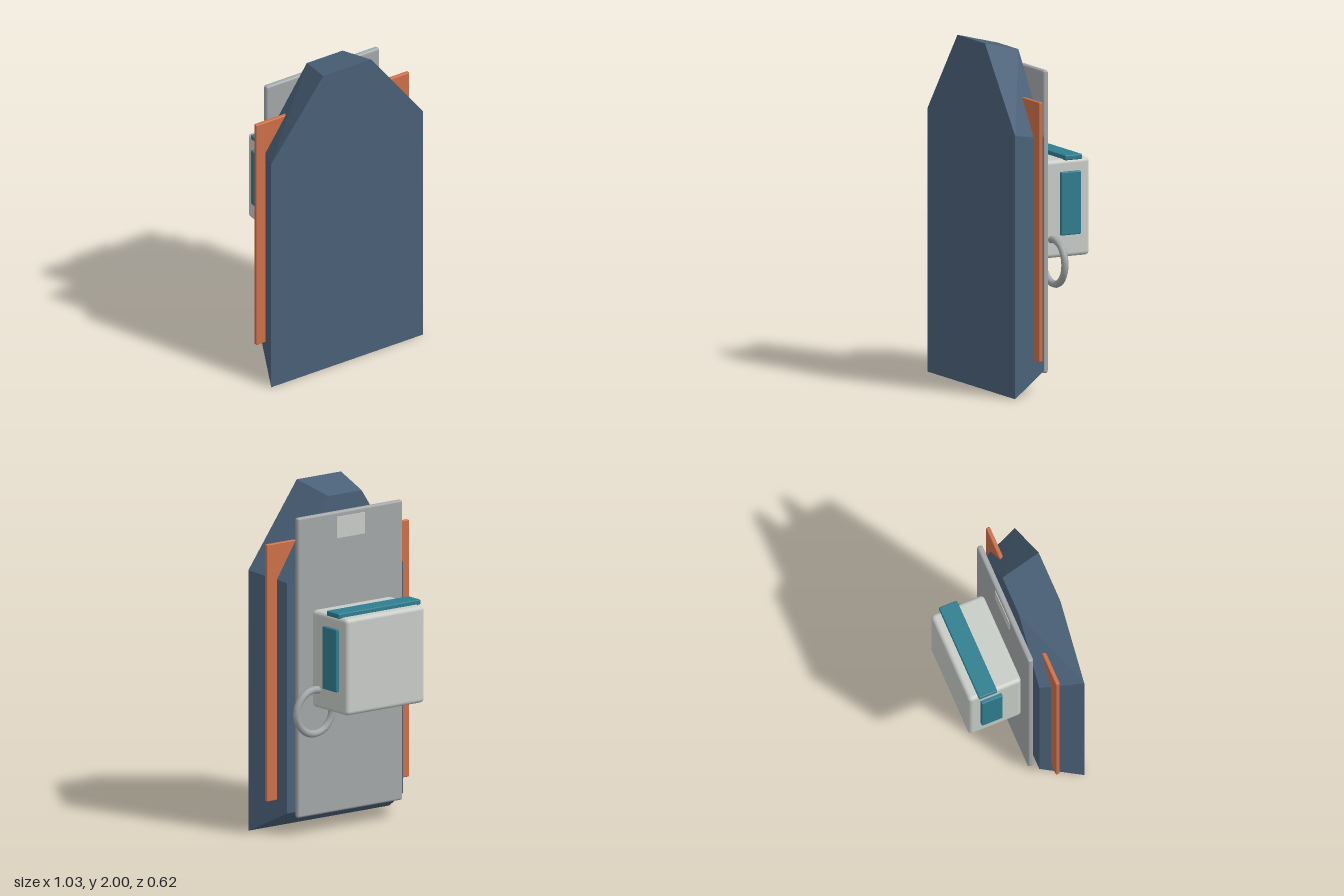
import * as THREE from 'three';
import { ConvexGeometry } from 'three/addons/geometries/ConvexGeometry.js';
import { RoundedBoxGeometry } from 'three/addons/geometries/RoundedBoxGeometry.js';

const paint = (name, color) => {
  const m = new THREE.MeshStandardMaterial({ color });
  m.name = name;
  return m;
};

export function createModel() {
  const group = new THREE.Group();
  const navy = paint('navy', 0x4a6178);
  const orange = paint('orange', 0xcc6f48);
  const teal = paint('teal', 0x2e7d8f);
  const paleGrey = paint('paleGrey', 0xc8ccc7);
  const steel = paint('steel', 0xa3a7a8);

  const add = (name, geometry, material) => {
    const mesh = new THREE.Mesh(geometry, material);
    mesh.name = name;
    group.add(mesh);
    return mesh;
  };

  // Rounded box given by its limits on each axis
  const block = (name, [x0, x1], [y0, y1], [z0, z1], radius, material) => {
    const geo = new RoundedBoxGeometry(x1 - x0, y1 - y0, z1 - z0, 3, radius);
    geo.translate((x0 + x1) / 2, (y0 + y1) / 2, (z0 + z1) / 2);
    return add(name, geo, material);
  };

  // Tapered shield body: clipped-corner outline, smaller at the back
  const outline = (z, half, topHalf, bottom, shoulder, top) =>
    [-1, 1].flatMap((s) => [
      new THREE.Vector3(s * half, bottom, z),
      new THREE.Vector3(s * half, shoulder, z),
      new THREE.Vector3(s * topHalf, top, z),
    ]);
  add('shieldBody', new ConvexGeometry([
    ...outline(0.308, 0.51, 0.16, 0, 1.52, 2),
    ...outline(0.068, 0.42, 0.12, 0.13, 1.475, 1.94),
  ]), navy);

  // Orange plate passing through the body, showing as a rail on each side
  block('sideRails', [-0.515, 0.515], [0.2, 1.7], [0.131, 0.155], 0.006, orange);

  // Backing plate and its small tag
  block('backPlate', [-0.38, 0.38], [0.105, 1.855], [0.017, 0.051], 0.013, steel);
  block('tag', [-0.103, 0.103], [1.7, 1.825], [0.013, 0.021], 0.001, paleGrey);

  // Pack with top strap and side panels
  block('pack', [-0.285, 0.285], [0.745, 1.31], [-0.308, 0.018], 0.025, paleGrey);
  block('topStrap', [-0.298, 0.298], [1.305, 1.335], [-0.251, -0.138], 0.007, teal);
  for (const s of [-1, 1]) {
    const x = s < 0 ? [-0.306, -0.28] : [0.28, 0.306];
    block(s < 0 ? 'rightPanel' : 'leftPanel', x, [0.875, 1.24], [-0.237, -0.109], 0.006, teal);
  }

  // Ring hooked through the lower left corner of the pack
  const ring = add('ring', new THREE.TorusGeometry(0.128, 0.021, 10, 32), steel);
  ring.position.set(0.317, 0.732, -0.053);

  return group;
}
